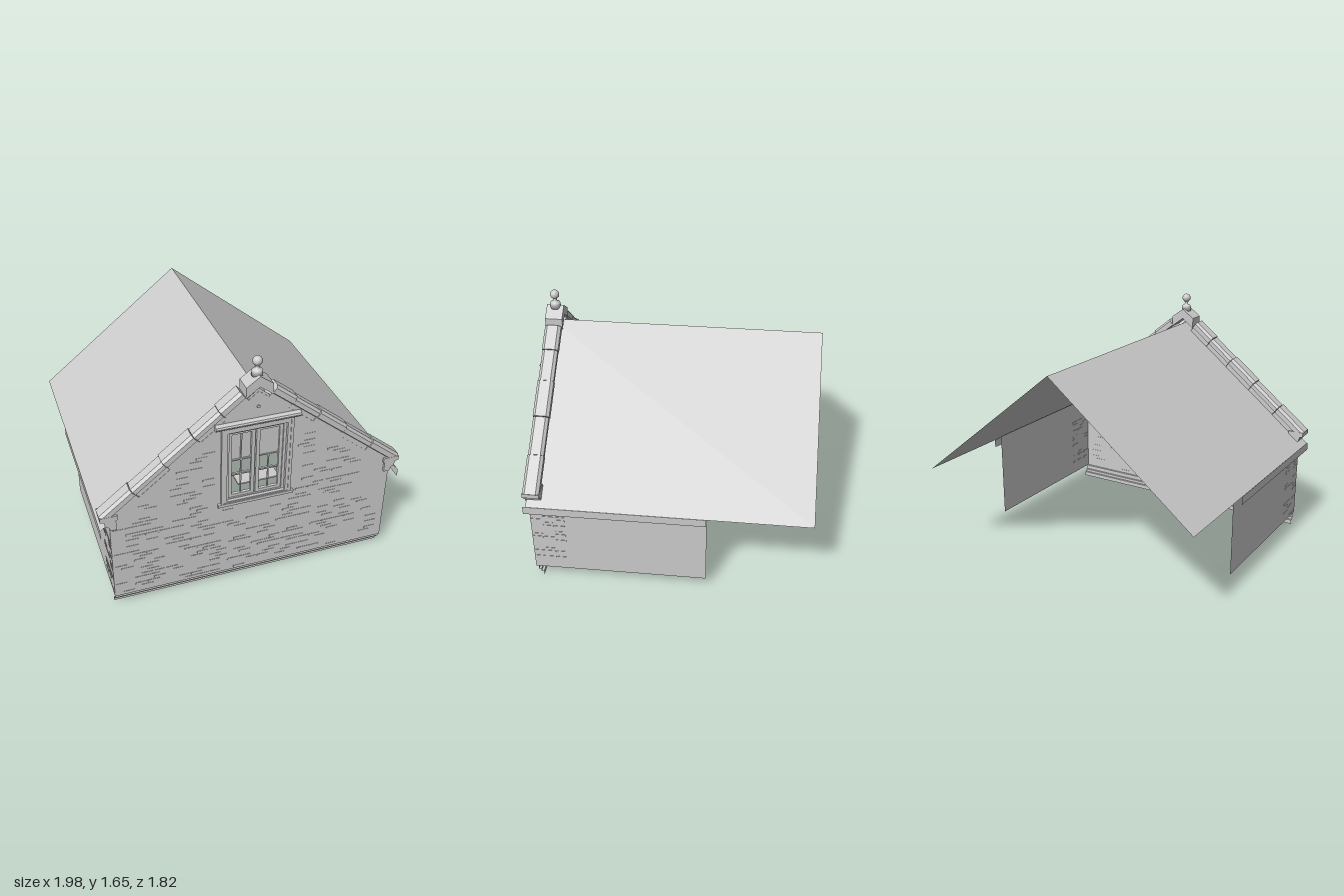
import * as THREE from 'three';
import { mergeGeometries } from 'three/addons/utils/BufferGeometryUtils.js';

const stone = new THREE.MeshStandardMaterial({ color: 0xcccccc, side: THREE.DoubleSide });
stone.name = 'pale stone';

const WALL_X = 0.93, FRONT_Z = 0.878, BACK_Z = -0.25, COPING_Z = 0.84;
const RIDGE = 1.433, PITCH = 0.8;
const roofY = (x) => RIDGE - PITCH * Math.abs(x);

function add(parent, name, geometry, x = 0, y = 0, z = 0) {
  const mesh = new THREE.Mesh(geometry, stone);
  mesh.name = name;
  mesh.position.set(x, y, z);
  parent.add(mesh);
  return mesh;
}
// box given by its min and max on each axis
function block(parent, name, x0, x1, y0, y1, z0, z1) {
  return add(parent, name, new THREE.BoxGeometry(x1 - x0, y1 - y0, z1 - z0),
    (x0 + x1) / 2, (y0 + y1) / 2, (z0 + z1) / 2);
}
const outline = (points) => new THREE.Shape(points.map(([x, y]) => new THREE.Vector2(x, y)));
const rect = (x0, x1, y0, y1) => outline([[x0, y0], [x1, y0], [x1, y1], [x0, y1]]);
// extrusion centred on z = 0
function slab(shape, depth) {
  const g = new THREE.ExtrudeGeometry(shape, { depth, bevelEnabled: false });
  return g.translate(0, 0, -depth / 2);
}
// hollow rectangular frame
function frame(parent, name, x0, x1, y0, y1, w, depth, z) {
  const s = rect(x0, x1, y0, y1);
  s.holes.push(rect(x0 + w, x1 - w, y0 + w, y1 - w));
  add(parent, name, slab(s, depth), 0, 0, z);
}
function seeded(seed) {
  return () => (seed = (seed * 16807) % 2147483647) / 2147483647;
}

function addWalls(g) {
  // gable wall with window opening
  const s = outline([[-WALL_X, 0.08], [WALL_X, 0.08], [WALL_X, roofY(WALL_X)],
    [0, RIDGE + 0.02], [-WALL_X, roofY(WALL_X)]]);
  s.holes.push(rect(-0.2, 0.2, 0.65, 1.2));
  add(g, 'gableWall', new THREE.ShapeGeometry(s), 0, 0, FRONT_Z);

  // thin side walls and eaves boards
  for (const side of [-1, 1]) {
    const wall = new THREE.PlaneGeometry(FRONT_Z - BACK_Z, 0.6).rotateY(side * Math.PI / 2);
    add(g, 'sideWall', wall, side * WALL_X, 0.38, (FRONT_Z + BACK_Z) / 2);
    const board = new THREE.PlaneGeometry(0.9 - BACK_Z, 0.055).rotateY(side * Math.PI / 2);
    add(g, 'eavesBoard', board, side * 0.99, 0.613, (0.9 + BACK_Z) / 2);
  }

  // plinth courses stepping back towards the ground
  const steps = [[0.08, FRONT_Z], [0.08, 0.862], [0.05, 0.862], [0.05, 0.846],
    [0.03, 0.846], [0.03, 0.83], [0, 0.83]];
  const strips = [];
  for (let i = 0; i + 1 < steps.length; i++) {
    const [y0, z0] = steps[i], [y1, z1] = steps[i + 1];
    const p = new THREE.PlaneGeometry(2 * WALL_X, Math.hypot(y1 - y0, z1 - z0));
    if (y0 === y1) p.rotateX(Math.PI / 2);
    strips.push(p.translate(0, (y0 + y1) / 2, (z0 + z1) / 2));
  }
  add(g, 'plinth', mergeGeometries(strips));
}

function addBricks(g) {
  // scattered bricks standing slightly proud
  const rand = seeded(71);
  const front = [], returns = [];
  for (let row = 0; row < 53; row++) {
    const y = 0.1 + row * 0.0245;
    const limit = Math.min(WALL_X - 0.01, (RIDGE - 0.06 - y) / PITCH);
    for (let x = -0.92 + (row % 2) * 0.04; x < 0.92; x += 0.082) {
      const blocked = Math.abs(x) < 0.29 && y > 0.61 && y < 1.27;
      if (rand() > 0.36 || blocked || Math.abs(x) + 0.04 > limit) continue;
      front.push(new THREE.BoxGeometry(0.076, 0.013, 0.005).translate(x, y, FRONT_Z));
    }
    if (y > 0.56) continue;
    for (const side of [-1, 1]) for (let z = 0.84; z > 0.66; z -= 0.075) {
      if (rand() > 0.4) continue;
      returns.push(new THREE.BoxGeometry(0.005, 0.013, 0.066).translate(side * WALL_X, y, z));
    }
  }
  add(g, 'raisedBricks', mergeGeometries(front));
  add(g, 'raisedReturnBricks', mergeGeometries(returns));
}

function addRoof(g) {
  const depth = 0.88 + 0.91, angle = Math.atan(PITCH), width = 0.99 / Math.cos(angle);
  for (const side of [-1, 1]) {
    const p = new THREE.PlaneGeometry(width, depth).rotateX(-Math.PI / 2).rotateZ(-side * angle);
    add(g, 'roofSlope', p, side * 0.495, roofY(0.495), (0.88 - 0.91) / 2);
  }
}

// one gable edge of coping stones and its kneeler, running towards +x
function copingHalf() {
  const half = new THREE.Group();
  half.name = 'gableCoping';
  const a = Math.atan(PITCH);
  const down = new THREE.Vector3(Math.cos(a), -Math.sin(a), 0);
  const out = new THREE.Vector3(Math.sin(a), Math.cos(a), 0);
  const joints = [0.08, 0.25, 0.46, 0.7, 0.95, 1.205];
  for (let i = 0; i + 1 < joints.length; i++) {
    const h = i % 2 ? 0.08 : 0.086, w = i % 2 ? 0.05 : 0.053;
    const profile = outline([[-w + 0.012, 0], [w - 0.012, 0], [w - 0.012, 0.03], [w, 0.036],
      [w, h - 0.016], [w - 0.018, h], [-w + 0.018, h], [-w, h - 0.016], [-w, 0.036],
      [-w + 0.012, 0.03]]);
    const geo = new THREE.ExtrudeGeometry(profile,
      { depth: joints[i + 1] - joints[i] - 0.003, bevelEnabled: false });
    const m = new THREE.Matrix4().makeBasis(new THREE.Vector3(0, 0, -1), out, down);
    m.setPosition(down.x * joints[i], RIDGE + down.y * joints[i], 0);
    add(half, 'copingStone', geo.applyMatrix4(m));
  }
  const kneeler = outline([[0.88, 0.745], [0.988, 0.745], [0.988, 0.715], [0.965, 0.71],
    [0.958, 0.68], [0.933, 0.66], [0.93, 0.64], [0.89, 0.64], [0.89, 0.71], [0.88, 0.715]]);
  add(half, 'kneeler', slab(kneeler, 0.108));
  half.position.z = COPING_Z;
  return half;
}

function addGableTop(g) {
  const right = copingHalf();
  right.rotation.y = Math.PI;
  g.add(copingHalf(), right);
  const hood = outline([[0, 1.54], [0.085, 1.478], [0.085, 1.405], [0, 1.47],
    [-0.085, 1.405], [-0.085, 1.478]]);
  add(g, 'apexStone', slab(hood, 0.112), 0, 0, COPING_Z);

  // ball finial on a turned base
  const base = [[0, 1.52], [0.034, 1.52], [0.034, 1.552], [0.03, 1.56], [0.014, 1.568],
    [0.011, 1.582], [0.016, 1.59], [0, 1.592]].map(([r, y]) => new THREE.Vector2(r, y));
  add(g, 'finialBase', new THREE.LatheGeometry(base, 20), 0, 0, COPING_Z);
  add(g, 'finialBall', new THREE.SphereGeometry(0.03, 20, 14), 0, 1.616, COPING_Z);
  const tie = new THREE.CylinderGeometry(0.01, 0.01, 0.008, 12).rotateX(Math.PI / 2);
  add(g, 'wallTie', tie, 0, 1.328, FRONT_Z + 0.003);
}

function addWindow(g) {
  const win = new THREE.Group();
  win.name = 'window';
  g.add(win);
  frame(win, 'outerArchitrave', -0.23, 0.23, 0.64, 1.215, 0.018, 0.024, 0.882);
  frame(win, 'innerArchitrave', -0.214, 0.214, 0.645, 1.2, 0.022, 0.05, 0.865);
  frame(win, 'casing', -0.194, 0.194, 0.652, 1.18, 0.02, 0.03, 0.855);
  block(win, 'sill', -0.25, 0.25, 0.635, 0.655, 0.85, 0.897);

  // rounded hood moulding over the window
  const hood = outline([[0.86, 1.212], [0.895, 1.212], [0.907, 1.222], [0.91, 1.232],
    [0.905, 1.243], [0.89, 1.25], [0.86, 1.25]]);
  const hoodGeo = slab(hood, 0.54).rotateY(-Math.PI / 2).scale(1, 1, 1);
  add(win, 'hoodMoulding', hoodGeo);

  // two sashes with glazing bars, blinds behind the upper halves
  for (const side of [-1, 1]) {
    const x0 = side < 0 ? -0.176 : 0.004, x1 = side < 0 ? -0.004 : 0.176;
    const mid = (x0 + x1) / 2;
    frame(win, 'sash', x0, x1, 0.67, 1.165, 0.023, 0.02, 0.85);
    block(win, 'glazingBar', mid - 0.004, mid + 0.004, 0.69, side < 0 ? 1.145 : 0.95, 0.842, 0.852);
    for (const y of [0.835, 0.945])
      block(win, 'glazingBar', x0 + 0.02, x1 - 0.02, y - 0.004, y + 0.004, 0.842, 0.852);
    const z = side < 0 ? 0.835 : 0.846;
    block(win, 'blind', x0 + 0.015, x1 - 0.015, 0.945, 1.155, z - 0.002, z + 0.002);
  }
}

function addInterior(g) {
  // small table with an ornament, above a planked step
  block(g, 'tableTop', -0.06, 0.22, 0.645, 0.655, 0.61, 0.73);
  const turned = [[0, 0.655], [0.02, 0.655], [0.02, 0.665], [0.007, 0.68], [0.015, 0.71],
    [0.006, 0.74], [0.009, 0.76], [0.002, 0.8], [0, 0.8]].map(([r, y]) => new THREE.Vector2(r, y));
  add(g, 'ornament', new THREE.LatheGeometry(turned, 12), 0.08, 0, 0.67);
  for (let i = 0; i < 6; i++)
    block(g, 'stepPlank', -0.22 + i * 0.1, -0.122 + i * 0.1, 0.375, 0.383, 0.53, 0.68);
}

export function createModel() {
  const group = new THREE.Group();
  group.name = 'gabledHouse';
  addWalls(group);
  addBricks(group);
  addRoof(group);
  addGableTop(group);
  addWindow(group);
  addInterior(group);
  return group;
}
